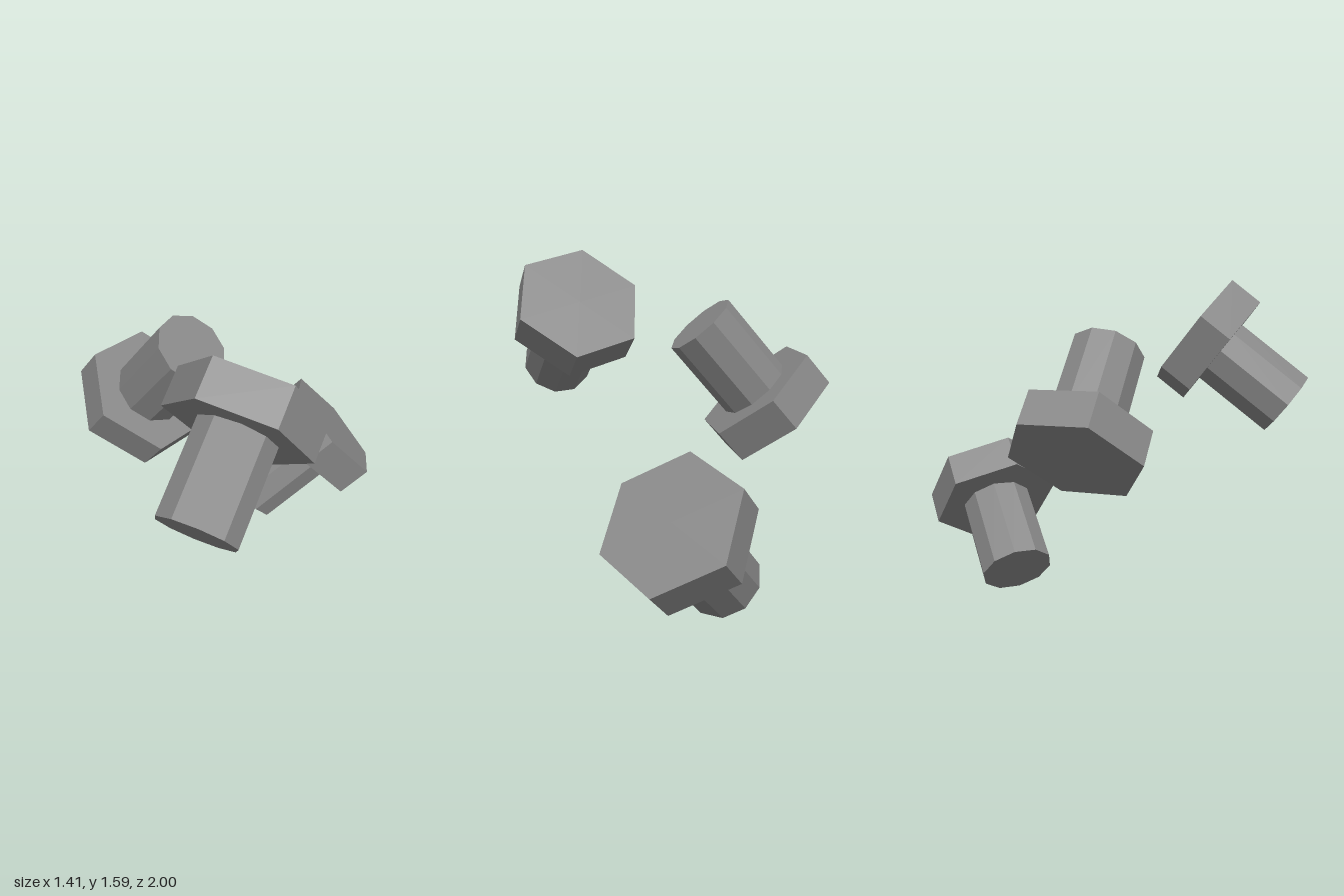
import * as THREE from 'three';

const HEAD_RADIUS = 0.327;
const HEAD_HEIGHT = 0.18;
const SHAFT_RADIUS = 0.18;
const SHAFT_LENGTH = 0.428;

// base: centre of the head's underside; axis: from shaft tip towards head;
// corner: direction from the axis to one head corner
const BOLTS = [
  { name: 'leftBolt', base: [-0.343, 0.932, -0.053], axis: [-0.379, -0.462, -0.106], corner: [-0.25, 0.186, 0.097] },
  { name: 'upperBolt', base: [0.379, 1.243, 0.562], axis: [0.03, 0.375, -0.476], corner: [-0.091, 0.248, 0.192] },
  { name: 'lowerBolt', base: [0.32, 0.43, -0.621], axis: [0.384, 0.411, -0.236], corner: [-0.252, 0.148, -0.155] },
];

export function createModel() {
  const model = new THREE.Group();
  model.name = 'bolts';
  const steel = new THREE.MeshStandardMaterial({ color: 0x888888, flatShading: true });
  steel.name = 'grey steel';

  // Hexagonal head
  const headGeometry = new THREE.CylinderGeometry(HEAD_RADIUS, HEAD_RADIUS, HEAD_HEIGHT, 6);
  headGeometry.translate(0, HEAD_HEIGHT / 2, 0);

  // Ten-sided shaft hanging below the head
  const shaftGeometry = new THREE.CylinderGeometry(SHAFT_RADIUS, SHAFT_RADIUS, SHAFT_LENGTH, 10);
  shaftGeometry.translate(0, -SHAFT_LENGTH / 2, 0);

  for (const { name, base, axis, corner } of BOLTS) {
    const bolt = new THREE.Group();
    bolt.name = name;

    const head = new THREE.Mesh(headGeometry, steel);
    head.name = 'head';
    const shaft = new THREE.Mesh(shaftGeometry, steel);
    shaft.name = 'shaft';
    bolt.add(head, shaft);

    // Turn y onto the axis and z onto the corner direction
    const y = new THREE.Vector3(...axis).normalize();
    const x = new THREE.Vector3().crossVectors(y, new THREE.Vector3(...corner)).normalize();
    const z = new THREE.Vector3().crossVectors(x, y);
    bolt.quaternion.setFromRotationMatrix(new THREE.Matrix4().makeBasis(x, y, z));
    bolt.position.set(...base);
    model.add(bolt);
  }
  return model;
}
